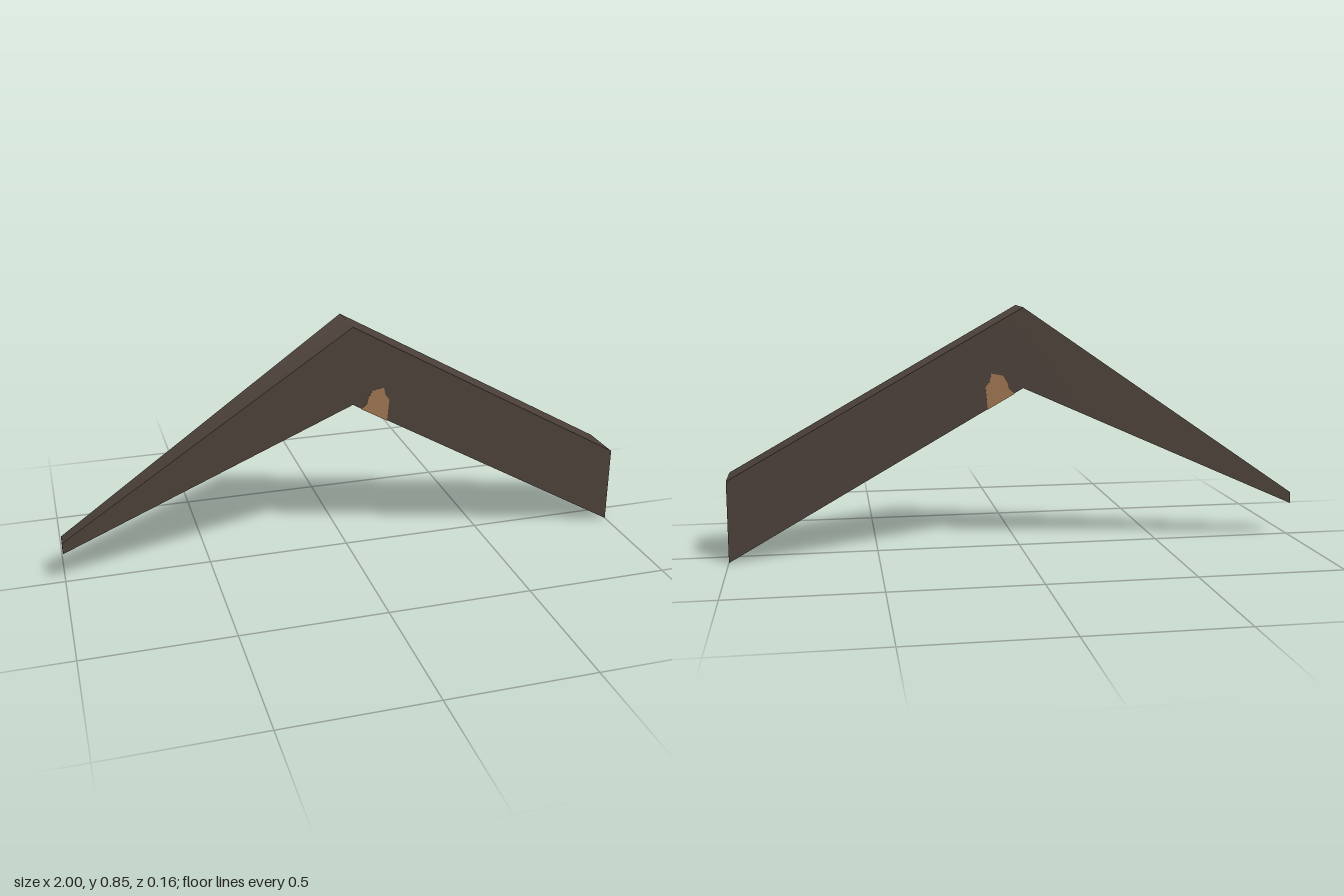
import * as THREE from 'three';
import { mergeGeometries } from 'three/addons/utils/BufferGeometryUtils.js';

const darkBrown = new THREE.MeshStandardMaterial({ color: 0x4b4039 });
const tan = new THREE.MeshStandardMaterial({ color: 0x9a7250 });
darkBrown.name = 'darkBrown';
tan.name = 'tan';

// Cross-sections along the bent bar: x, bottom, top, half depth
const sections = [
  [-1, 0.12, 0.16, 0.027],
  [0, 0.57, 0.845, 0.08],
  [1, 0, 0.278, 0.08],
];

// Corners of one section: low front, low back, high back, high front
const corners = ([x, low, high, d]) => [[x, low, d], [x, low, -d], [x, high, -d], [x, high, d]];

// Strip between two rows of points; normals are smooth along it, sharp at its borders
function strip(rowA, rowB) {
  const geo = new THREE.BufferGeometry();
  const index = [];
  const n = rowA.length;
  for (let i = 0; i < n - 1; i++) index.push(i, i + 1, n + i, i + 1, n + i + 1, n + i);
  geo.setAttribute('position', new THREE.Float32BufferAttribute([...rowA, ...rowB].flat(), 3));
  geo.setIndex(index);
  geo.computeVertexNormals();
  return geo;
}

function barGeometry() {
  const rings = sections.map(corners);
  const parts = [];
  // Four long sides
  for (let k = 0; k < 4; k++) {
    const next = (k + 1) % 4;
    parts.push(strip(rings.map((r) => r[next]), rings.map((r) => r[k])));
  }
  // End caps
  const [a, b] = [rings[0], rings[2]];
  parts.push(strip([a[3], a[2]], [a[0], a[1]]));
  parts.push(strip([b[0], b[1]], [b[3], b[2]]));
  return mergeGeometries(parts);
}

// Worn spot that wraps across the underside beside the bend, barely proud of the bar
function patchGeometry() {
  const outline = [
    [0.03, 0.551], [0.122, 0.499], [0.13, 0.575], [0.115, 0.595],
    [0.11, 0.622], [0.07, 0.615], [0.055, 0.59], [0.05, 0.57],
  ].map(([x, y]) => new THREE.Vector2(x, y));
  const geo = new THREE.ExtrudeGeometry(new THREE.Shape(outline), { depth: 0.162, bevelEnabled: false });
  return geo.translate(0, 0, -0.081);
}

export function createModel() {
  const group = new THREE.Group();
  group.name = 'bentBar';
  const add = (name, geo, material) => {
    const mesh = new THREE.Mesh(geo, material);
    mesh.name = name;
    group.add(mesh);
  };
  add('bar', barGeometry(), darkBrown);
  add('wornPatch', patchGeometry(), tan);
  return group;
}
